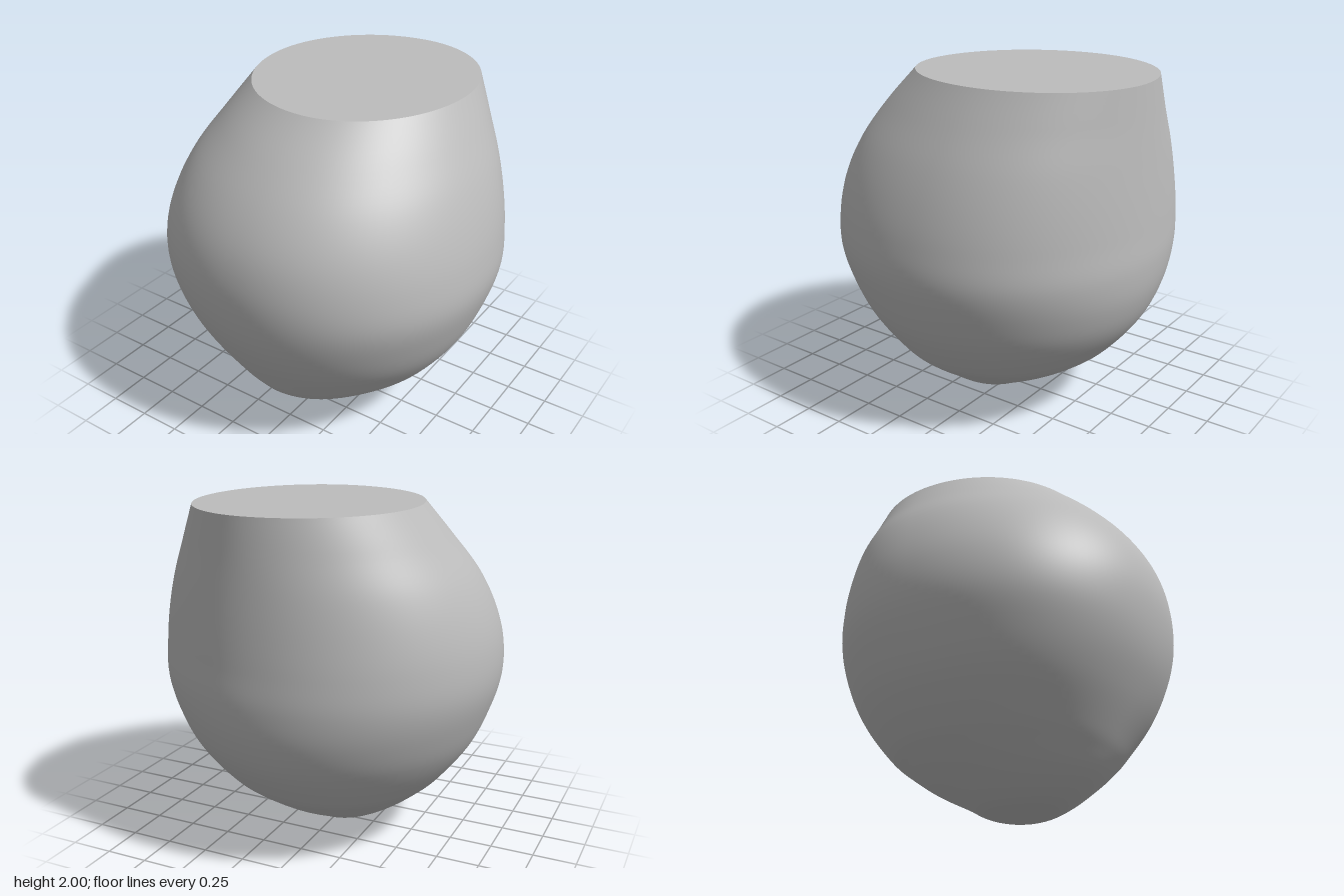
import * as THREE from 'three';

// Cross-sections from bottom to top:
// y, left/right limits in x, back/front limits in z, centre x, centre z, front fullness
const SECTIONS = [
  [0.00, -0.02, -0.02, 0.05, 0.05, -0.02, 0.05, 2.0],
  [0.04, -0.20, 0.19, -0.12, 0.27, -0.02, 0.06, 1.95],
  [0.10, -0.32, 0.31, -0.23, 0.41, -0.03, 0.06, 1.9],
  [0.20, -0.46, 0.45, -0.42, 0.55, -0.03, 0.05, 1.85],
  [0.30, -0.58, 0.59, -0.57, 0.64, -0.02, 0.03, 1.85],
  [0.40, -0.68, 0.70, -0.69, 0.71, -0.02, 0.01, 1.9],
  [0.60, -0.83, 0.84, -0.85, 0.83, 0.00, 0.00, 2.0],
  [0.80, -0.92, 0.925, -0.935, 0.92, 0.00, -0.01, 2.05],
  [1.00, -0.975, 0.975, -0.965, 0.965, 0.00, -0.02, 2.1],
  [1.20, -0.975, 0.965, -0.96, 0.97, 0.00, -0.04, 2.1],
  [1.40, -0.93, 0.925, -0.95, 0.925, 0.02, -0.08, 2.08],
  [1.60, -0.845, 0.86, -0.938, 0.82, 0.04, -0.13, 2.05],
  [1.80, -0.715, 0.77, -0.926, 0.66, 0.06, -0.19, 2.0],
  [2.00, -0.58, 0.67, -0.915, 0.455, 0.08, -0.25, 2.0],
];
const ROWS = 78, SEGMENTS = 112;

// Uniform Catmull-Rom blend of one column of the section table
function sample(column, t) {
  const last = SECTIONS.length - 1;
  const f = t * last, i = Math.min(Math.floor(f), last - 1), u = f - i;
  const at = (k) => k < 0 ? 2 * SECTIONS[0][column] - SECTIONS[1][column]
    : k > last ? 2 * SECTIONS[last][column] - SECTIONS[last - 1][column]
    : SECTIONS[k][column];
  const a = at(i - 1), b = at(i), c = at(i + 1), d = at(i + 2);
  return b + 0.5 * u * (c - a + u * (2 * a - 5 * b + 4 * c - d + u * (3 * (b - c) + d - a)));
}

// One closed ring: an oval with its own radius in each quadrant
function ring(t) {
  const [y, x0, x1, z0, z1, cx, cz, full] = SECTIONS[0].map((_, k) => sample(k, t));
  const points = [];
  for (let j = 0; j < SEGMENTS; j++) {
    const a = (j / SEGMENTS) * Math.PI * 2, c = Math.cos(a), s = Math.sin(a);
    const power = 2 / (s > 0 ? full : Math.max(full, 2));
    const px = Math.sign(c) * Math.abs(c) ** power;
    const pz = Math.sign(s) * Math.abs(s) ** power;
    points.push(cx + px * (c > 0 ? x1 - cx : cx - x0), Math.max(y, 0),
      cz + pz * (s > 0 ? z1 - cz : cz - z0));
  }
  return points;
}

function makeGeometry(positions, index) {
  const g = new THREE.BufferGeometry();
  g.setAttribute('position', new THREE.Float32BufferAttribute(positions, 3));
  g.setIndex(index);
  g.computeVertexNormals();
  return g;
}

export function createModel() {
  const group = new THREE.Group();
  group.name = 'truncatedRoundedHead';
  const grey = new THREE.MeshStandardMaterial({ color: 0xbcbcbc });
  grey.name = 'plain grey';

  // Rounded body
  const positions = [], index = [];
  for (let i = 0; i <= ROWS; i++) positions.push(...ring(i / ROWS));
  for (let i = 0; i < ROWS; i++) {
    for (let j = 0; j < SEGMENTS; j++) {
      const a = i * SEGMENTS + j, b = i * SEGMENTS + (j + 1) % SEGMENTS;
      if (i > 0) index.push(a, a + SEGMENTS, b);
      index.push(b, a + SEGMENTS, b + SEGMENTS);
    }
  }
  const body = new THREE.Mesh(makeGeometry(positions, index), grey);
  body.name = 'roundedBody';

  // Flat cut on top
  const rim = ring(1), fan = [];
  for (let j = 0; j < SEGMENTS; j++) fan.push(SEGMENTS, (j + 1) % SEGMENTS, j);
  const cap = new THREE.Mesh(makeGeometry([...rim, 0.06, 2, -0.24], fan), grey);
  cap.name = 'flatTop';

  group.add(body, cap);
  return group;
}
